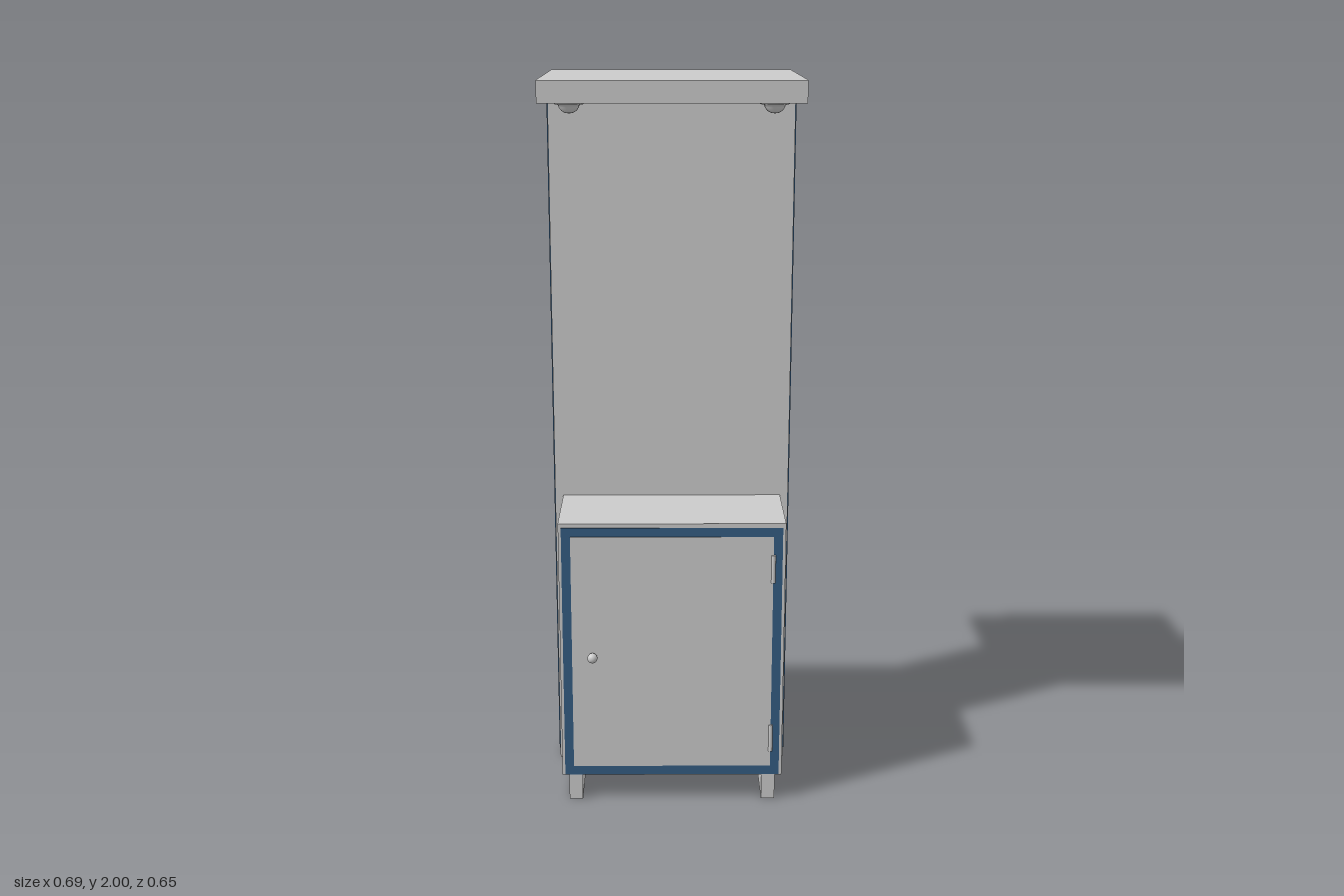
import * as THREE from 'three';

const grey = new THREE.MeshStandardMaterial({ color: 0xcccccc });
const blue = new THREE.MeshStandardMaterial({ color: 0x345c82 });

function add(parent, name, geometry, x, y, z, material = grey) {
  const mesh = new THREE.Mesh(geometry, material);
  mesh.name = name;
  mesh.position.set(x, y, z);
  parent.add(mesh);
  return mesh;
}

// Box given by its minimum and maximum corners
function addBox(parent, name, [x0, y0, z0], [x1, y1, z1], material) {
  return add(parent, name, new THREE.BoxGeometry(x1 - x0, y1 - y0, z1 - z0),
    (x0 + x1) / 2, (y0 + y1) / 2, (z0 + z1) / 2, material);
}

function rectangle(path, x0, y0, x1, y1) {
  path.moveTo(x0, y0);
  path.lineTo(x1, y0);
  path.lineTo(x1, y1);
  path.lineTo(x0, y1);
  path.closePath();
  return path;
}

// Cabinet with its door on the +z side
function createCabinet() {
  const cabinet = new THREE.Group();
  addBox(cabinet, 'cabinetBody', [-0.31, 0.075, 0.035], [0.31, 0.825, 0.294]);

  // Coloured door surround
  const outline = rectangle(new THREE.Shape(), -0.302, 0.077, 0.302, 0.813);
  outline.holes.push(rectangle(new THREE.Path(), -0.277, 0.105, 0.277, 0.788));
  const frame = new THREE.ExtrudeGeometry(outline, { depth: 0.003, bevelEnabled: false });
  add(cabinet, 'doorFrame', frame, 0, 0, 0.293, blue);

  addBox(cabinet, 'door', [-0.277, 0.105, 0.29], [0.277, 0.788, 0.299]);

  // Door knob on a short stem
  const stem = add(cabinet, 'knobStem', new THREE.CylinderGeometry(0.005, 0.005, 0.02, 16), -0.22, 0.44, 0.303);
  stem.rotation.x = Math.PI / 2;
  add(cabinet, 'knob', new THREE.SphereGeometry(0.014, 24, 16), -0.22, 0.44, 0.313);

  for (const y of [0.19, 0.695]) {
    add(cabinet, 'hinge', new THREE.CylinderGeometry(0.006, 0.006, 0.08, 16), 0.277, y, 0.297);
  }

  // Runners under both ends
  for (const x of [-0.272, 0.272]) {
    addBox(cabinet, 'runner', [x - 0.019, 0, 0.035], [x + 0.019, 0.075, 0.294]);
  }
  return cabinet;
}

export function createModel() {
  const model = new THREE.Group();
  model.name = 'displayStand';

  addBox(model, 'canopy', [-0.343, 1.942, -0.295], [0.343, 2, 0.295]);
  addBox(model, 'centralPanel', [-0.333, 0, -0.037], [0.333, 1.942, 0.037]);

  // Coloured edge strips on the panel
  for (const side of [-1, 1]) {
    add(model, 'edgeStrip', new THREE.BoxGeometry(0.006, 1.917, 0.056), side * 0.333, 0.9835, 0, blue);
  }

  // Identical cabinets back to back
  for (const [name, turn] of [['frontCabinet', 0], ['backCabinet', Math.PI]]) {
    const cabinet = createCabinet();
    cabinet.name = name;
    cabinet.rotation.y = turn;
    model.add(cabinet);
  }

  // Downlights: a thin flange with a shallow dome
  const profile = [[0, -0.03], [0.011, -0.028], [0.02, -0.023], [0.026, -0.014], [0.028, -0.008],
    [0.038, -0.006], [0.039, 0]].map(([r, y]) => new THREE.Vector2(r, y));
  const downlight = new THREE.LatheGeometry(profile, 32);
  for (const x of [-0.265, 0.265]) {
    for (const z of [-0.215, 0.215]) add(model, 'downlight', downlight, x, 1.942, z);
  }
  return model;
}
